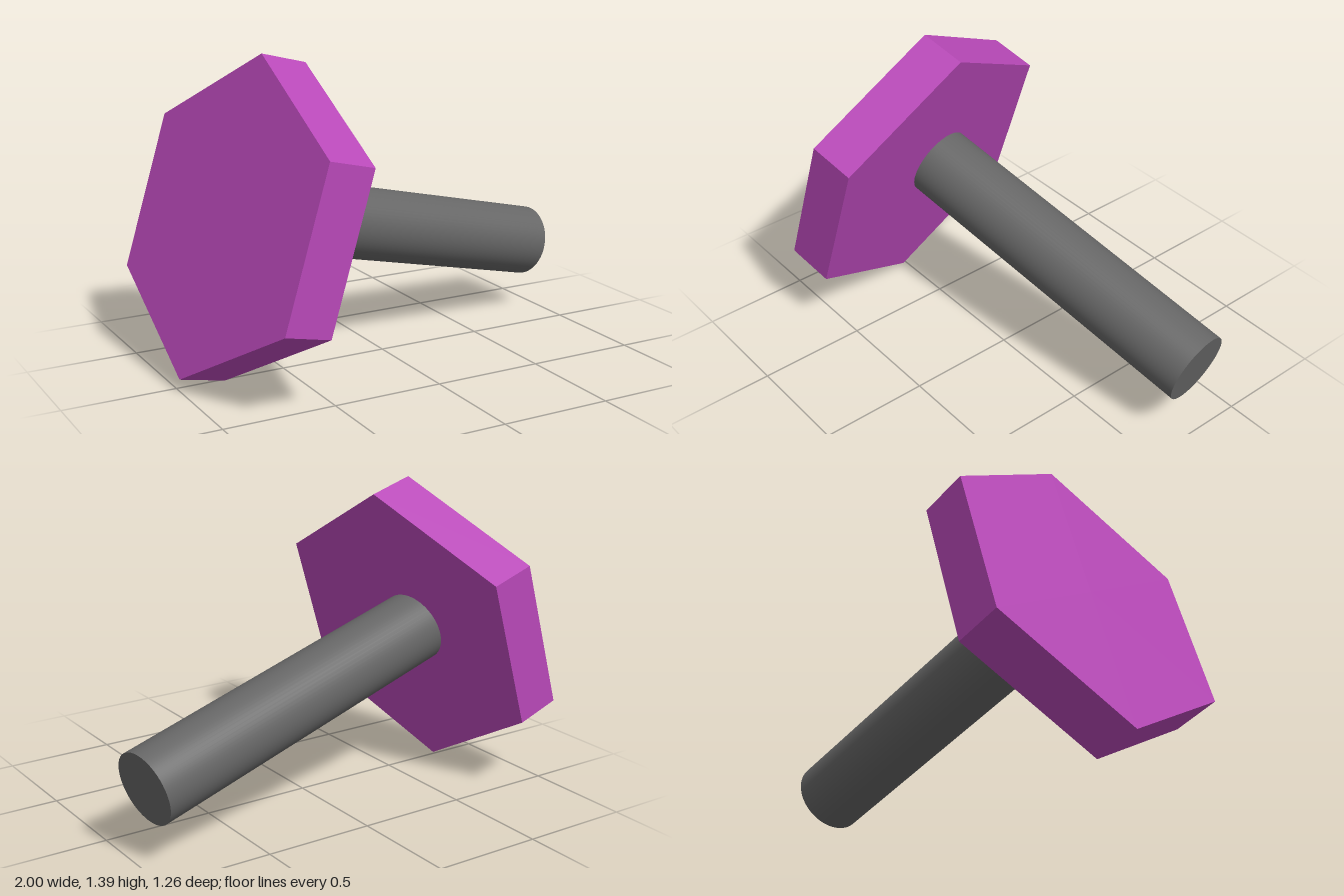
import * as THREE from 'three';

const V = (x, y, z) => new THREE.Vector3(x, y, z);

export function createModel() {
  const group = new THREE.Group();
  const purple = new THREE.MeshStandardMaterial({ color: 0xb848b8 });
  purple.name = 'purple';
  const grey = new THREE.MeshStandardMaterial({ color: 0x666666 });
  grey.name = 'dark grey';

  // Hexagonal head: a six-sided prism laid along a slightly oblique axis
  const axis = V(0.217, -0.055, -0.03);
  const cornerA = V(0.2175, 0.67, -0.03);
  const cornerB = V(0.2175, 0.327, 0.587);
  const across = cornerB.clone().addScaledVector(cornerA, -0.5).divideScalar(Math.sin(Math.PI / 3));
  const center = V(-0.567, 0.675, -0.015).addScaledVector(axis, -0.5);
  const prism = new THREE.CylinderGeometry(1, 1, 1, 6).toNonIndexed();
  prism.applyMatrix4(new THREE.Matrix4().makeBasis(across, axis, cornerA).setPosition(center));
  prism.computeVertexNormals();
  const head = new THREE.Mesh(prism, purple);
  head.name = 'hexHead';
  group.add(head);

  // Round shaft, its inner end sunk slightly into the head
  const tip = V(0.957, 0.328, -0.283);
  const root = V(-0.567, 0.705, -0.072);
  const dir = tip.clone().sub(root).normalize();
  root.addScaledVector(dir, -0.05);
  const shaft = new THREE.Mesh(new THREE.CylinderGeometry(0.167, 0.167, tip.distanceTo(root), 64), grey);
  shaft.name = 'shaft';
  shaft.position.copy(tip).add(root).multiplyScalar(0.5);
  shaft.quaternion.setFromUnitVectors(V(0, 1, 0), dir);
  group.add(shaft);

  return group;
}
